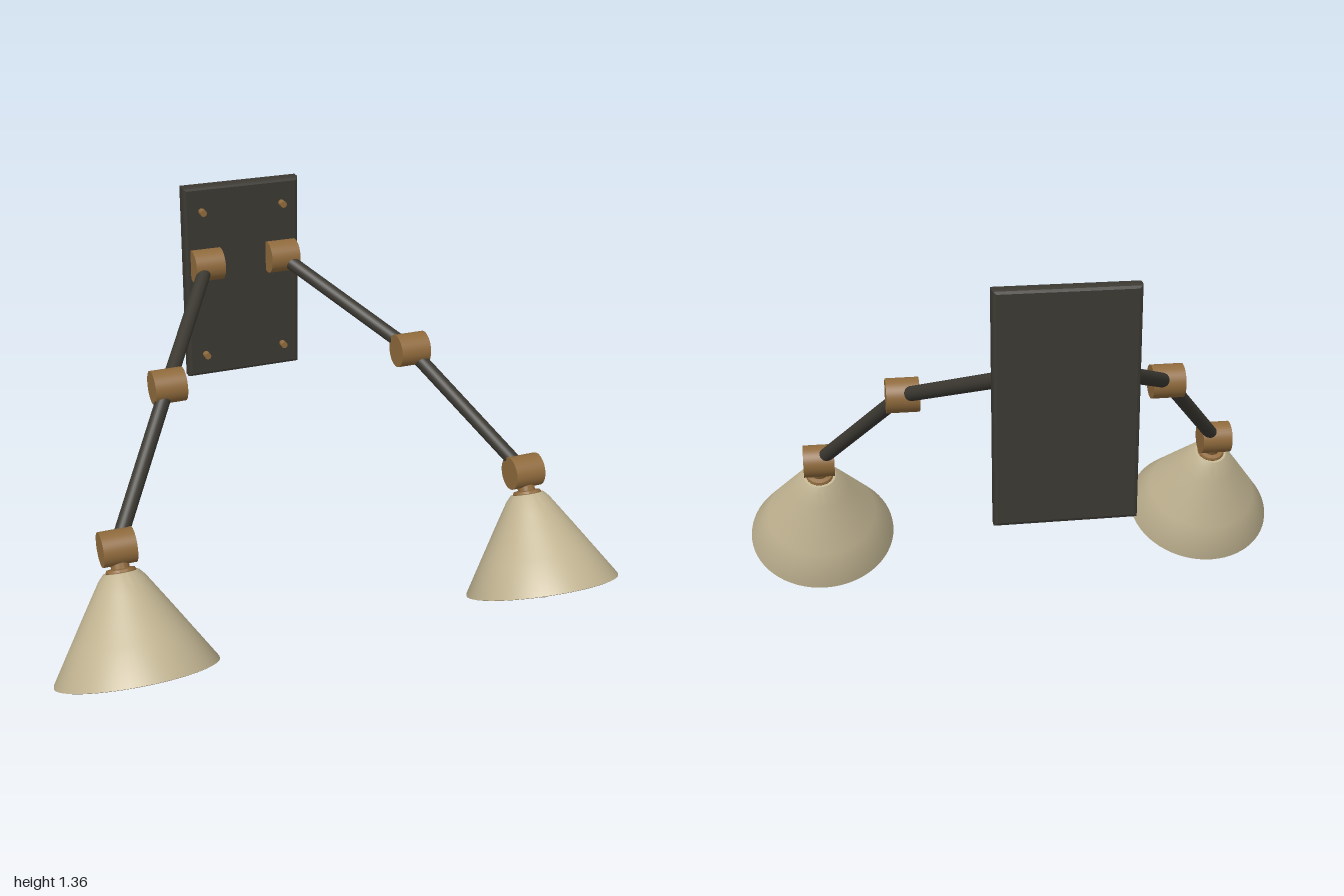
import * as THREE from 'three';
import { toCreasedNormals } from 'three/addons/utils/BufferGeometryUtils.js';

const iron = new THREE.MeshStandardMaterial({ color: 0x3b3831 });
const bronze = new THREE.MeshStandardMaterial({ color: 0x8f6a3c });
const enamel = new THREE.MeshStandardMaterial({ color: 0xc0b391 });
const glass = new THREE.MeshStandardMaterial({ color: 0xefe3c6 });

function add(parent, name, geometry, material) {
  const mesh = new THREE.Mesh(geometry, material);
  mesh.name = name;
  parent.add(mesh);
  return mesh;
}

// Cylinder between two points
function rod(parent, name, a, b, radius, material, sides = 24) {
  const dir = b.clone().sub(a);
  const mesh = add(parent, name, new THREE.CylinderGeometry(radius, radius, dir.length(), sides), material);
  mesh.position.copy(a).add(b).multiplyScalar(0.5);
  mesh.quaternion.setFromUnitVectors(new THREE.Vector3(0, 1, 0), dir.normalize());
  return mesh;
}

// Lathe from [radius, y] pairs, with sharp corners kept
function lathe(pairs, segments = 48) {
  const points = pairs.map(([r, y]) => new THREE.Vector2(r, y));
  return toCreasedNormals(new THREE.LatheGeometry(points, segments), 0.6);
}

// Wall plate with chamfered edges
function wallPlate() {
  const w = 0.44, h = 0.735, d = 0.055, c = 0.012;
  const x = w / 2 - c, y = h / 2 - c;
  const shape = new THREE.Shape([
    new THREE.Vector2(-x, -y), new THREE.Vector2(x, -y),
    new THREE.Vector2(x, y), new THREE.Vector2(-x, y),
  ]);
  const geometry = new THREE.ExtrudeGeometry(shape, {
    depth: d - 2 * c, bevelEnabled: true, bevelSize: c, bevelThickness: c, bevelSegments: 2,
  });
  return geometry.translate(0, 1.0, -0.68 + c);
}

// Lamp head hanging down its own -y axis from the end joint
function lampHead() {
  const head = new THREE.Group();
  head.name = 'lampHead';

  add(head, 'neck', lathe([
    [0, -0.086], [0.048, -0.086], [0.05, -0.078], [0.046, -0.07],
    [0.03, -0.068], [0.03, -0.03], [0, -0.03],
  ], 32), bronze);

  // Thin-walled shade: down the inside, round the rim, up the outside
  const outer = [[0.058, -0.08], [0.076, -0.1], [0.103, -0.142], [0.142, -0.203], [0.2, -0.295], [0.266, -0.4]];
  const inner = outer.map(([r, y]) => [r - 0.006, y - 0.005]);
  const rim = [[0.262, -0.409], [0.267, -0.407]];
  add(head, 'shade', lathe(
    [[0, -0.085], ...inner, ...rim, ...outer.slice().reverse(), [0, -0.08]], 64), enamel);

  add(head, 'socket', new THREE.CylinderGeometry(0.032, 0.032, 0.2, 24), bronze).position.y = -0.18;

  const bulb = add(head, 'bulb', new THREE.SphereGeometry(0.061, 32, 24), glass);
  bulb.scale.y = 1.64;
  bulb.position.y = -0.352;

  head.rotation.x = -0.467;
  return head;
}

// Two-part jointed arm; side is +1 for the left, -1 for the right
function lampArm(side) {
  const arm = new THREE.Group();
  arm.name = side > 0 ? 'leftLamp' : 'rightLamp';
  const joints = [
    ['wallJoint', new THREE.Vector3(0.145 * side, 1.08, -0.605)],
    ['elbowJoint', new THREE.Vector3(0.447 * side, 0.857, -0.1)],
    ['headJoint', new THREE.Vector3(0.733 * side, 0.49, 0.26)],
  ];
  const half = new THREE.Vector3(0.055, 0, 0);
  for (const [name, p] of joints) {
    rod(arm, name, p.clone().sub(half), p.clone().add(half), 0.058, bronze, 40);
  }
  rod(arm, 'upperArm', joints[0][1], joints[1][1], 0.025, iron);
  rod(arm, 'lowerArm', joints[1][1], joints[2][1], 0.025, iron);

  const head = lampHead();
  head.position.copy(joints[2][1]);
  arm.add(head);
  return arm;
}

export function createModel() {
  const model = new THREE.Group();
  model.name = 'doubleWallLamp';
  add(model, 'wallPlate', wallPlate(), iron);

  for (const side of [1, -1]) {
    // Screws at the plate corners
    for (const y of [0.72, 1.277]) {
      rod(model, 'screw', new THREE.Vector3(0.153 * side, y, -0.64),
        new THREE.Vector3(0.153 * side, y, -0.597), 0.012, bronze, 16);
    }
    model.add(lampArm(side));
  }
  return model;
}
